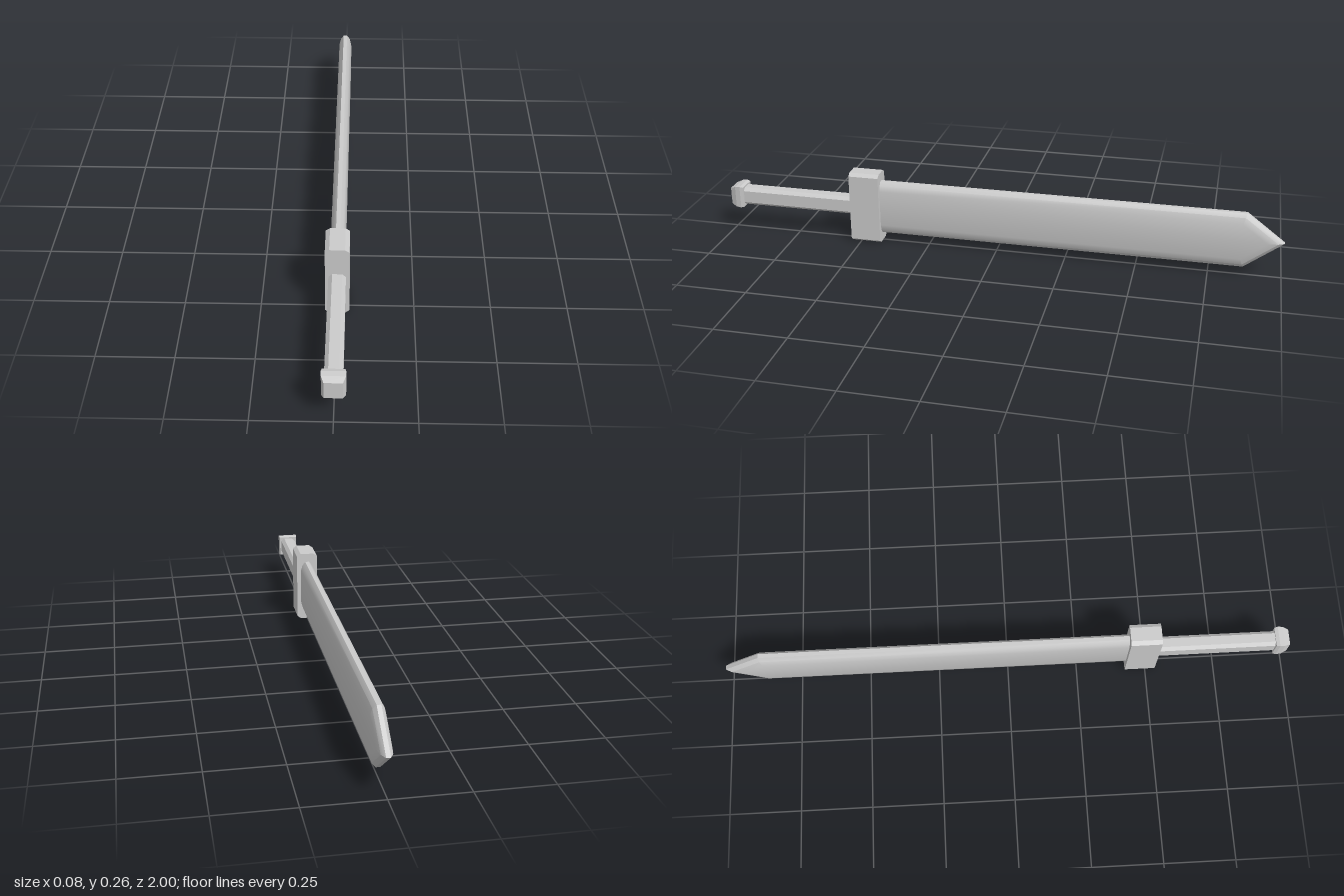
import * as THREE from 'three';
import { toCreasedNormals } from 'three/addons/utils/BufferGeometryUtils.js';

const MID = 0.132; // height of the sword's long axis

// Skin a list of convex rings (counter-clockwise seen from the last ring) and cap both ends
function loft(name, rings, crease) {
  const n = rings[0].length, index = [], last = (rings.length - 1) * n;
  for (let i = 0; i < rings.length - 1; i++) {
    for (let j = 0; j < n; j++) {
      const a = i * n + j, b = i * n + (j + 1) % n;
      index.push(a, b, b + n, a, b + n, a + n);
    }
  }
  for (let j = 1; j < n - 1; j++) {
    index.push(0, j + 1, j, last, last + j, last + j + 1);
  }
  const geo = new THREE.BufferGeometry();
  geo.setAttribute('position', new THREE.Float32BufferAttribute(rings.flat(2), 3));
  geo.setIndex(index);
  const mesh = new THREE.Mesh(toCreasedNormals(geo, crease),
    new THREE.MeshStandardMaterial({ color: 0xcccccc }));
  mesh.name = name;
  mesh.position.y = MID;
  return mesh;
}

// Rectangle with cut corners, at depth z
const octagon = (w, h, cx, cy, z) => [
  [w, -h + cy], [w, h - cy], [w - cx, h], [-w + cx, h],
  [-w, h - cy], [-w, -h + cy], [-w + cx, -h], [w - cx, -h],
].map(([x, y]) => [x, y, z]);

const rectangle = (w, h, z) => [[w, -h, z], [w, h, z], [-w, h, z], [-w, -h, z]];

// Pointed blade outline at thickness x, shrunk evenly by d
function bladeOutline(x, d) {
  const h = 0.1 - d, tip = -1 + d * 1.64, shoulder = tip + h * 1.32;
  return [[x, h, 0.45], [x, -h, 0.45], [x, -h, shoulder], [x, 0, tip], [x, h, shoulder]];
}

export function createModel() {
  const sword = new THREE.Group();
  sword.name = 'sword';

  // Blade: flat cheeks, two bevels, narrow blunt edge
  const layers = [[0.024, 0.035], [0.018, 0.013], [0.007, 0]];
  const rings = [
    ...layers.map(([x, d]) => bladeOutline(-x, d)),
    ...layers.slice().reverse().map(([x, d]) => bladeOutline(x, d)),
  ];
  sword.add(loft('blade', rings, 0.5));

  // Guard: upright block with cut corners
  sword.add(loft('guard', [0.426, 0.535].map(z => octagon(0.039, 0.132, 0.014, 0.01, z)), 0.2));

  // Grip: long bar with chamfered edges
  sword.add(loft('grip', [0.52, 0.96].map(z => octagon(0.028, 0.033, 0.012, 0.011, z)), 0.2));

  // Pommel: small block bevelled towards its end
  const pommel = [[0.034, 0.038, 0.95], [0.037, 0.041, 0.962], [0.036, 0.039, 0.98], [0.028, 0.031, 1]];
  sword.add(loft('pommel', pommel.map(p => rectangle(...p)), 0.2));

  return sword;
}
